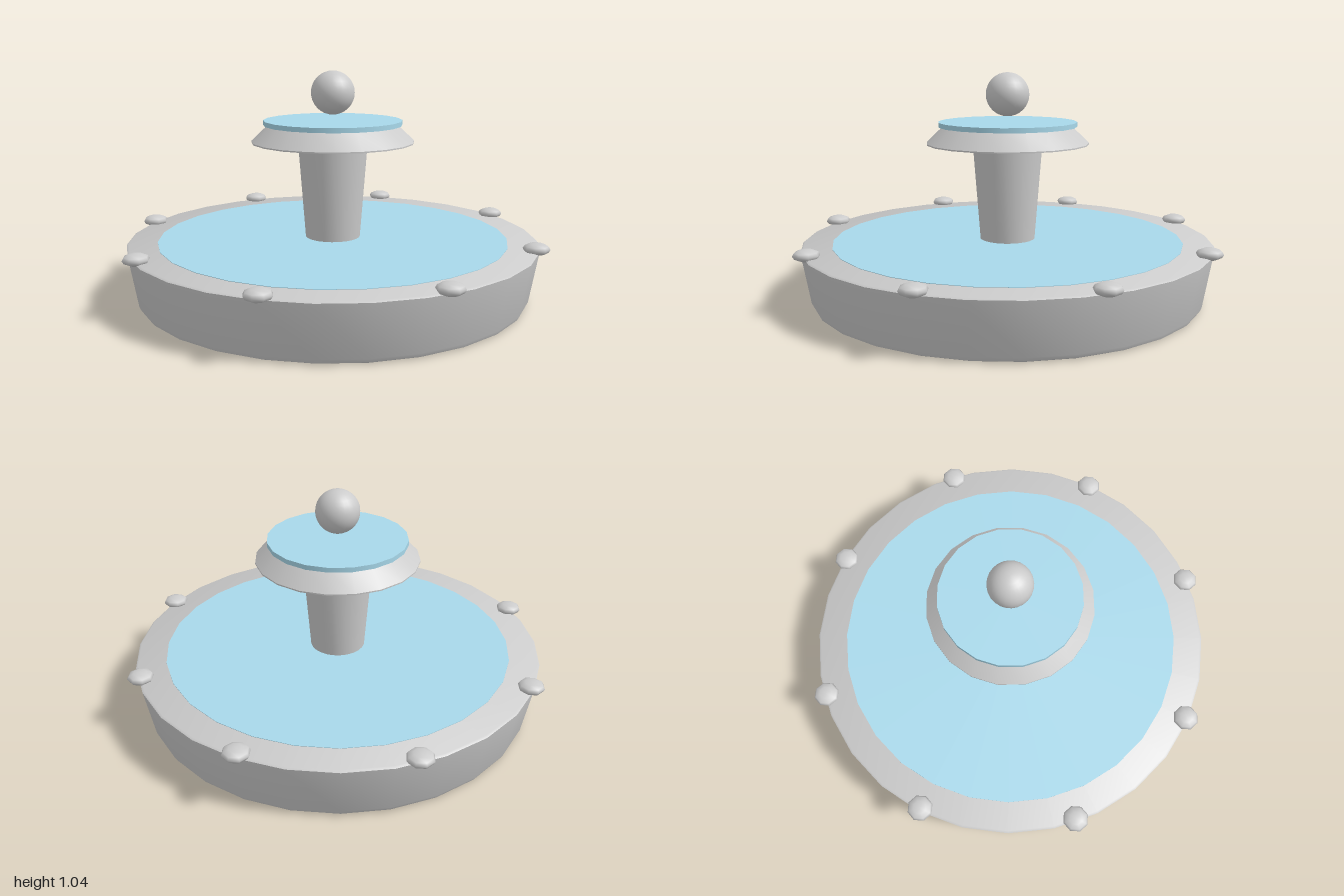
import * as THREE from 'three';
import { toCreasedNormals } from 'three/addons/utils/BufferGeometryUtils.js';

const stone = new THREE.MeshStandardMaterial({ color: 0xcccccc });
const water = new THREE.MeshStandardMaterial({ color: 0xa8d8ea });

export function createModel() {
  const fountain = new THREE.Group();
  fountain.name = 'fountain';

  const add = (name, geometry, material, y = 0) => {
    const mesh = new THREE.Mesh(geometry, material);
    mesh.name = name;
    mesh.position.y = y;
    fountain.add(mesh);
    return mesh;
  };

  // Turned solid from [radius, height] pairs listed bottom to top
  const turned = (profile, sides) => toCreasedNormals(
    new THREE.LatheGeometry(profile.map(([r, y]) => new THREE.Vector2(r, y)), sides), 0.6);

  // Wide flared basin, closed on top, with the pool lying on it
  add('basin', turned([
    [0, 0], [0.89, 0], [0.905, 0.007], [0.914, 0.025],
    [0.952, 0.245], [0.954, 0.256], [0.945, 0.262], [0, 0.262],
  ], 28), stone);
  add('poolWater', new THREE.CylinderGeometry(0.815, 0.815, 0.02, 28), water, 0.254);

  // Column widening upward
  add('column', turned([[0, 0.25], [0.127, 0.25], [0.163, 0.72], [0, 0.72]], 24), stone);

  // Upper dish, widest at its lower edge, capped by a thin disc of water
  add('upperDish', turned([
    [0, 0.712], [0.378, 0.712], [0.378, 0.718], [0.3, 0.792], [0, 0.792],
  ], 20), stone);
  add('upperWater', new THREE.CylinderGeometry(0.322, 0.322, 0.022, 20), water, 0.803);

  // Ball hovering over the upper dish
  add('ball', new THREE.SphereGeometry(0.101, 24, 16), stone, 0.94);

  // Eight flattened studs around the rim
  const studGeometry = new THREE.SphereGeometry(0.06, 8, 6);
  for (let i = 0; i < 8; i++) {
    const angle = (i * Math.PI) / 4;
    const stud = add('rimStud', studGeometry, stone, 0.273);
    stud.position.x = 0.94 * Math.cos(angle);
    stud.position.z = 0.94 * Math.sin(angle);
    stud.scale.y = 0.45;
  }
  return fountain;
}
